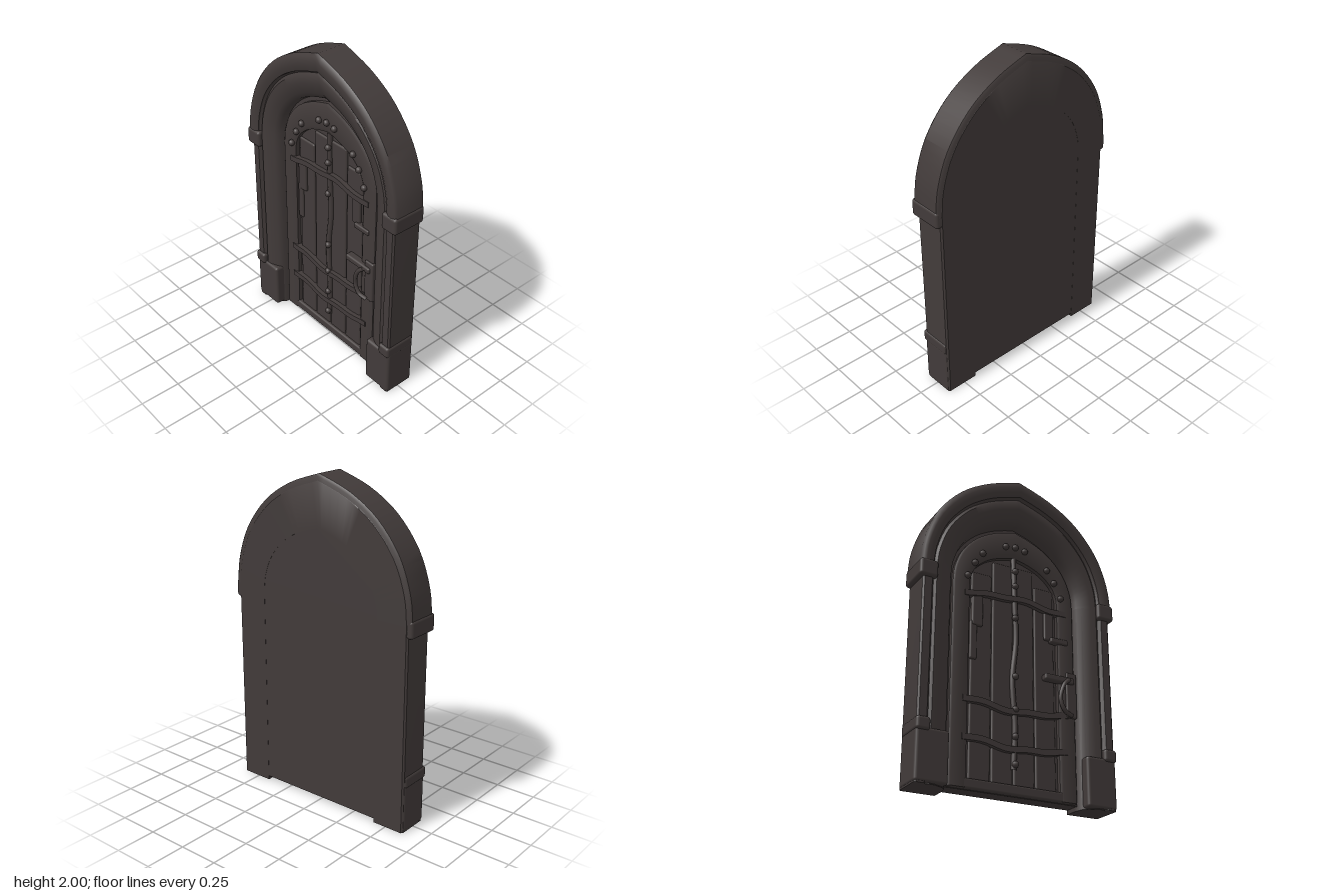
import * as THREE from 'three';
import { toCreasedNormals } from 'three/addons/utils/BufferGeometryUtils.js';
import { RoundedBoxGeometry } from 'three/addons/geometries/RoundedBoxGeometry.js';

const charcoal = new THREE.MeshStandardMaterial({ color: 0x423b3a });
charcoal.name = 'charcoal';

const SPRING = 1.25;
const apexOf = w => 1.705 + (w - 0.42) * (w > 0.42 ? 1.311 : 1.7);

// Pointed arch as points from lower right, over the apex, to lower left
function arch(w, bottom) {
  const rise = apexOf(w) - SPRING;
  const half = new THREE.SplineCurve(
    [[1, 0], [0.97, 0.23], [0.85, 0.5], [0.62, 0.74], [0.33, 0.9], [0, 1]]
      .map(([x, y]) => new THREE.Vector2(x * w, SPRING + y * rise))).getPoints(20);
  const right = [new THREE.Vector2(w, bottom), ...half];
  const left = right.slice(0, -1).reverse().map(p => new THREE.Vector2(-p.x, p.y));
  return [...right, ...left];
}

// Sweep a closed section of [half width, z] points round the arch and cap its feet
function archBand(section, bottom) {
  const rings = section.map(([w]) => arch(w, bottom));
  const n = rings[0].length, m = section.length;
  const pos = [], index = [];
  rings.forEach((ring, j) => ring.forEach(p => pos.push(p.x, p.y, section[j][1])));
  for (let j = 0; j < m; j++) {
    const k = (j + 1) % m;
    for (let i = 0; i < n - 1; i++) {
      const a = j * n + i, b = k * n + i;
      index.push(a, a + 1, b, a + 1, b + 1, b);
    }
  }
  const flat = section.map(([w, z]) => new THREE.Vector2(w, z));
  for (const [a, b, c] of THREE.ShapeUtils.triangulateShape(flat, [])) {
    index.push(a * n, b * n, c * n);
    index.push(c * n + n - 1, b * n + n - 1, a * n + n - 1);
  }
  const g = new THREE.BufferGeometry();
  g.setAttribute('position', new THREE.Float32BufferAttribute(pos, 3));
  g.setIndex(index);
  return toCreasedNormals(g, 0.7);
}

export function createModel() {
  const model = new THREE.Group();
  model.name = 'archedDoor';

  const add = (name, geometry, x = 0, y = 0, z = 0, parent = model) => {
    const mesh = new THREE.Mesh(geometry, charcoal);
    mesh.name = name;
    mesh.position.set(x, y, z);
    parent.add(mesh);
    return mesh;
  };
  // Softened block given by its limits
  const block = (name, x0, x1, y0, y1, z0, z1, r = 0.012, parent = model) =>
    add(name, new RoundedBoxGeometry(x1 - x0, y1 - y0, z1 - z0, 2, r),
      (x0 + x1) / 2, (y0 + y1) / 2, (z0 + z1) / 2, parent);
  const tube = (name, pts, radius, parent) => add(name, new THREE.TubeGeometry(
    new THREE.CatmullRomCurve3(pts.map(p => new THREE.Vector3(...p))), 32, radius, 8), 0, 0, 0, parent);

  // Stone surround with a sloping inner reveal
  add('stoneFrame', archBand([
    [0.61, -0.11], [0.62, -0.1], [0.62, 0.08], [0.61, 0.09], [0.565, 0.09], [0.55, 0.07],
    [0.535, 0.082], [0.5, 0.078], [0.45, 0.055], [0.425, 0.03], [0.415, -0.03], [0.415, -0.11]], 0));

  // Raised hood moulding over the arch
  add('hoodMoulding', archBand([
    [0.63, -0.108], [0.642, -0.098], [0.642, 0.085], [0.63, 0.1], [0.61, 0.105], [0.585, 0.103],
    [0.56, 0.09], [0.555, 0.06], [0.555, -0.108]], 1.2));

  // Hood stops and plinth blocks on both jambs
  for (const s of [-1, 1]) {
    const side = new THREE.Group();
    side.name = s > 0 ? 'leftJambBlocks' : 'rightJambBlocks';
    model.add(side);
    const put = (name, a, b, ...rest) => block(name, Math.min(s * a, s * b), Math.max(s * a, s * b), ...rest, 0.018, side);
    put('hoodStop', 0.535, 0.647, 1.18, 1.285, -0.108, 0.11);
    put('plinthCap', 0.545, 0.628, 0.28, 0.355, -0.1, 0.106);
    put('plinth', 0.43, 0.624, 0.004, 0.3, -0.105, 0.094);
  }

  // Solid door slab and flat back
  const slab = new THREE.ExtrudeGeometry(new THREE.Shape(arch(0.43, 0.025)), { depth: 0.1, bevelEnabled: false });
  add('doorSlab', toCreasedNormals(slab, 0.7), 0, 0, -0.109);

  const door = new THREE.Group();
  door.name = 'doorDetails';
  model.add(door);

  // Vertical planks
  for (let i = 0; i < 4; i++) {
    const x = -0.28 + i * 0.14;
    block('plank', x + 0.003, x + 0.137, 0.04, i % 3 ? 1.44 : 1.34, -0.03, 0.003, 0.012, door);
  }

  // Raised rim of the door
  add('doorRim', archBand([
    [0.402, -0.02], [0.402, 0.015], [0.39, 0.024], [0.31, 0.024], [0.295, 0.014], [0.292, -0.02]], 0.03), 0, 0, 0, door);
  block('bottomRail', -0.39, 0.39, 0.028, 0.085, -0.03, 0.022, 0.012, door);

  // Rim studs
  const studGeo = new THREE.SphereGeometry(0.02, 12, 8);
  const stud = (x, y, z) => add('stud', studGeo, x, y, z, door);
  for (const [x, y] of [[0, 1.56], [0.065, 1.55], [0.22, 1.46], [0.27, 1.385], [0.315, 1.29]])
    for (const s of x ? [-1, 1] : [1]) stud(s * x, y, 0.03);

  // Sagging iron straps, each ending in small hanging tabs
  for (const [y, sag] of [[1.2, -0.015], [0.52, 0.015], [0.3, 0.015]]) {
    const strap = new THREE.BoxGeometry(0.68, 0.035, 0.035, 24, 2, 1);
    const p = strap.attributes.position;
    for (let i = 0; i < p.count; i++) {
      const x = p.getX(i);
      p.setY(i, p.getY(i) - sag * Math.cos(x * 9) + 0.006 * Math.sin(x * 23));
    }
    strap.computeVertexNormals();
    add('ironStrap', strap, 0.01, y, 0.012, door);
  }
  block('strapTab', -0.275, -0.205, 0.99, 1.2, -0.01, 0.018, 0.01, door);
  block('strapTab', -0.285, -0.24, 0.78, 1.02, -0.01, 0.014, 0.01, door);
  block('strapTab', 0.205, 0.27, 1.0, 1.2, -0.01, 0.018, 0.01, door);
  block('strapTab', 0.24, 0.36, 0.985, 1.02, -0.01, 0.035, 0.01, door);

  // Central iron bar with studs
  tube('centreBar', [[0, 1.49, 0.004], [0.006, 1.2, 0.008], [0.015, 0.95, 0.006], [-0.008, 0.7, 0.006],
    [0.008, 0.42, 0.008], [0, 0.17, 0.004]], 0.017, door);
  for (const y of [1.4, 1.3, 1.09, 0.72, 0.52, 0.36, 0.2]) stud(0.004, y, 0.022);

  // Latch plate and ring handle
  block('latchPlate', 0.34, 0.41, 0.53, 0.81, 0.005, 0.036, 0.01, door);
  block('latchBar', 0.19, 0.39, 0.735, 0.775, 0.0, 0.05, 0.012, door);
  tube('handle', [[0.35, 0.76, 0.05], [0.31, 0.72, 0.058], [0.285, 0.63, 0.055], [0.315, 0.56, 0.052],
    [0.37, 0.54, 0.04]], 0.013, door);
  return model;
}
